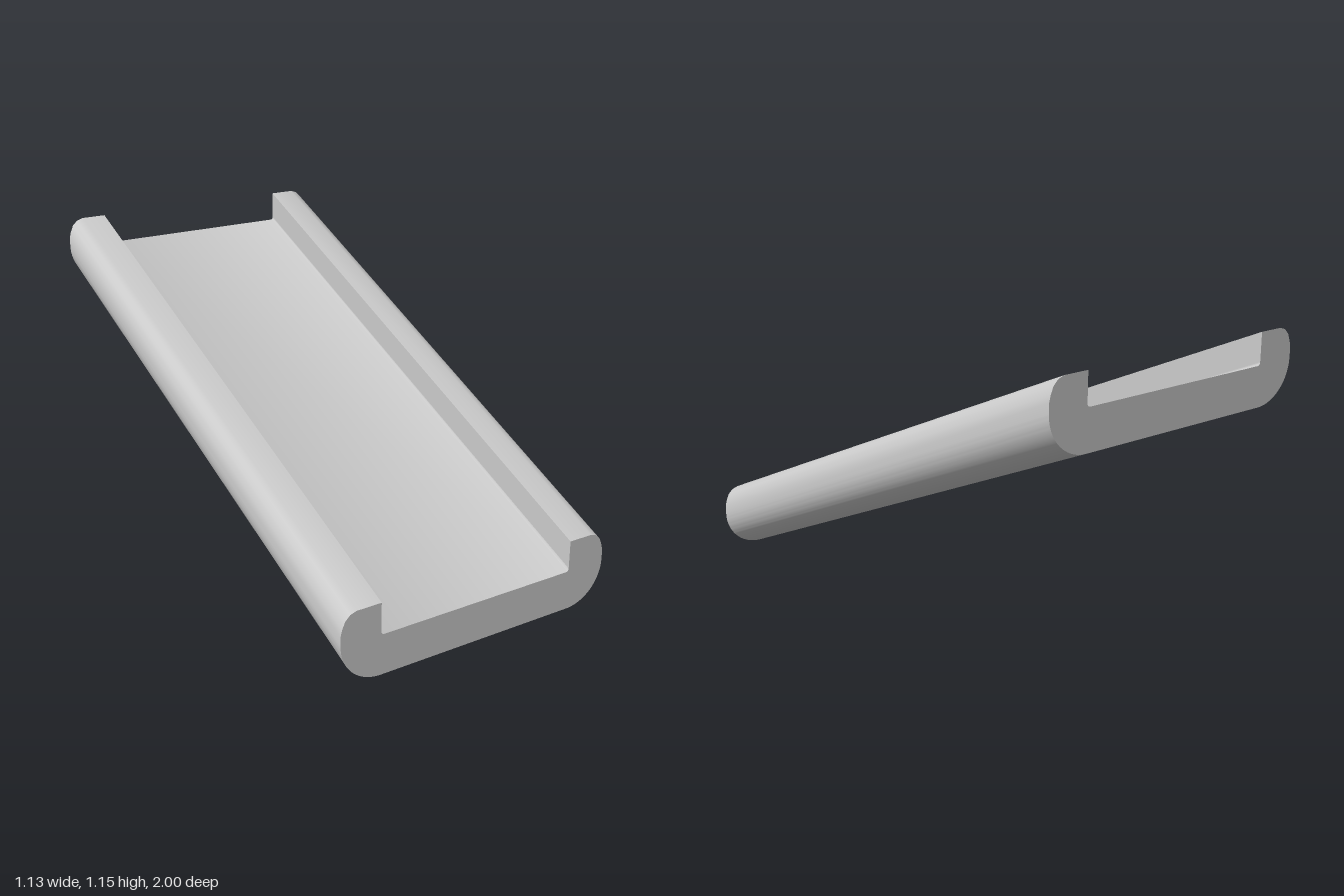
import * as THREE from 'three';
import { toCreasedNormals } from 'three/addons/utils/BufferGeometryUtils.js';

const LENGTH = 2;
const SLOPE = 0.4415; // rise per unit of length towards the back

const material = new THREE.MeshStandardMaterial({ color: 0xcccccc });

// Extrude a cross-section along z, then shear it upwards so the end faces stay vertical
function slopedBar(name, shape) {
  const geometry = new THREE.ExtrudeGeometry(shape, { depth: LENGTH, bevelEnabled: false, curveSegments: 16 });
  geometry.translate(0, 0, -LENGTH / 2);
  const p = geometry.attributes.position;
  for (let i = 0; i < p.count; i++) p.setY(i, p.getY(i) + (LENGTH / 2 - p.getZ(i)) * SLOPE);
  const mesh = new THREE.Mesh(toCreasedNormals(geometry, 0.6), material);
  mesh.name = name;
  return mesh;
}

// Floor with rounded lower edges and a small fillet against each rail
function traySection() {
  const s = new THREE.Shape();
  s.moveTo(-0.405, 0);
  s.lineTo(0.405, 0);
  s.absellipse(0.405, 0.154, 0.158, 0.154, -Math.PI / 2, 0, false);
  s.lineTo(0.405, 0.16);
  s.quadraticCurveTo(0.404, 0.148, 0.392, 0.148);
  s.lineTo(-0.392, 0.148);
  s.quadraticCurveTo(-0.404, 0.148, -0.405, 0.16);
  s.lineTo(-0.563, 0.154);
  s.absellipse(-0.405, 0.154, 0.158, 0.154, Math.PI, Math.PI * 1.5, false);
  return s;
}

// Raised side rail, rounded on its outer top edge; side is +1 or -1
function railSection(side) {
  const points = [
    [0.405, 0.16], [0.563, 0.154], [0.563, 0.19], [0.557, 0.213],
    [0.546, 0.239], [0.527, 0.257], [0.502, 0.265], [0.405, 0.265],
  ];
  return new THREE.Shape(points.map(([x, y]) => new THREE.Vector2(x * side, y)));
}

export function createModel() {
  const model = new THREE.Group();
  model.name = 'slopedChannel';
  model.add(
    slopedBar('tray', traySection()),
    slopedBar('leftRail', railSection(1)),
    slopedBar('rightRail', railSection(-1)),
  );
  return model;
}
